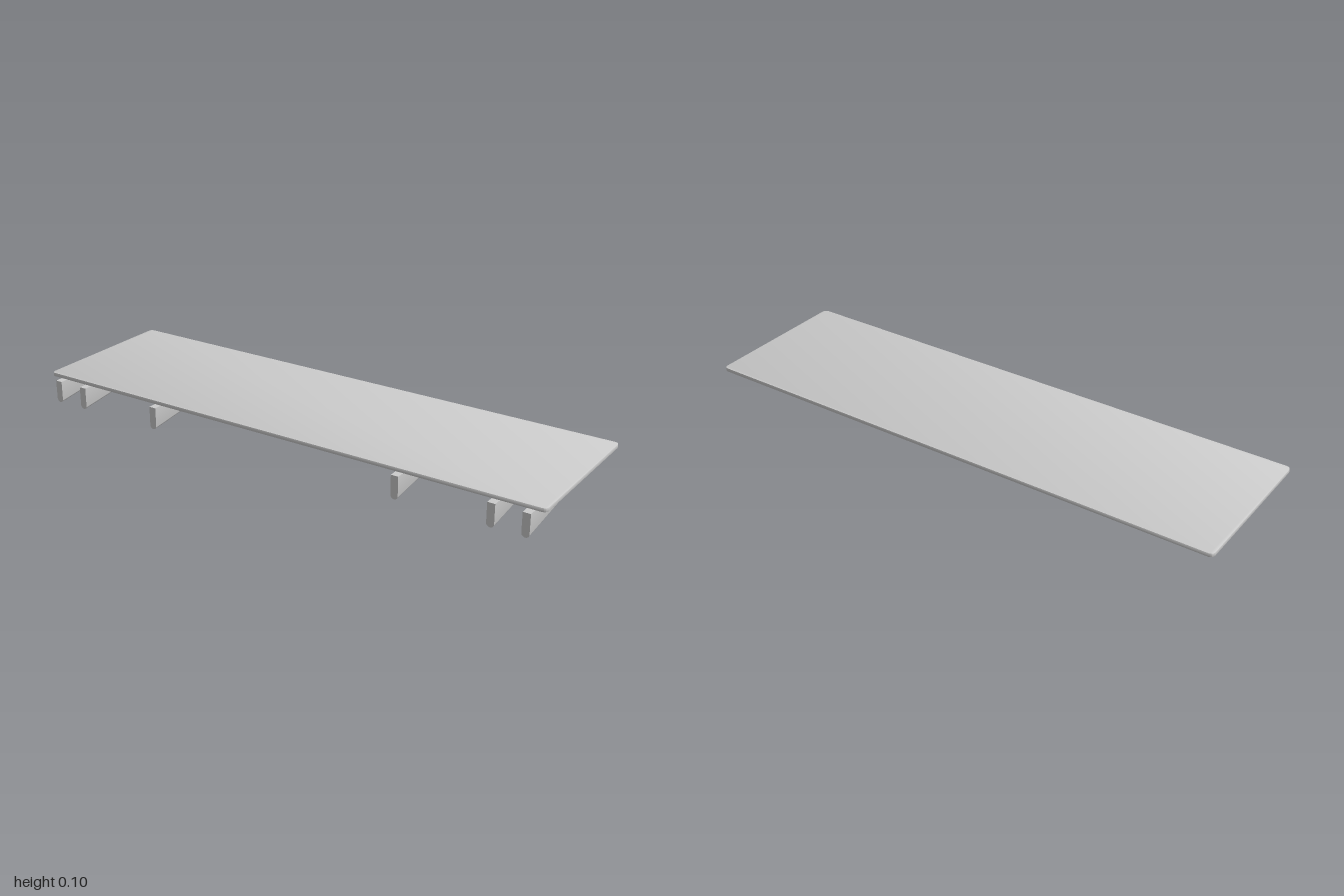
import * as THREE from 'three';
import { toCreasedNormals } from 'three/addons/utils/BufferGeometryUtils.js';

const TOP = 0.085; // height of the bracket tops
const R = 0.0135; // half width of a bracket
const FRONT = 0.295, NOSE = -0.194; // bracket end and centre of its round nose

// Tapered bracket: U-shaped cross-sections swept from the flat end to a round nose
function bracketGeometry() {
  const stations = [{ z: FRONT, r: R, yc: R + 0.002 }];
  const steps = 10, arc = 14;
  for (let i = 0; i <= steps; i++) {
    const a = (i / steps) * Math.PI / 2;
    stations.push({ z: NOSE - R * Math.sin(a), r: R * Math.max(Math.cos(a), 0.01), yc: 0.06 + R });
  }
  const pos = [], idx = [], n = arc + 3;
  for (const { z, r, yc } of stations) {
    pos.push(-r, TOP, z);
    for (let k = 0; k <= arc; k++) {
      const t = Math.PI + (k / arc) * Math.PI;
      pos.push(r * Math.cos(t), yc + r * Math.sin(t), z);
    }
    pos.push(r, TOP, z);
  }
  for (let i = 0; i < stations.length - 1; i++) {
    for (let j = 0; j < n; j++) {
      const k = (j + 1) % n;
      const a = i * n + j, b = i * n + k, c = a + n, d = b + n;
      idx.push(a, c, b, b, c, d);
    }
  }
  for (let j = 1; j < n - 1; j++) idx.push(0, j, j + 1); // flat end
  const g = new THREE.BufferGeometry();
  g.setAttribute('position', new THREE.Float32BufferAttribute(pos, 3));
  g.setIndex(idx);
  return toCreasedNormals(g, 0.6);
}

// Thin board with rounded corners and slightly eased edges
function boardGeometry() {
  const bevel = 0.0015, x = 1 - bevel, z0 = -0.275 + bevel, z1 = 0.294 - bevel, c = 0.015;
  const s = new THREE.Shape();
  s.moveTo(-x + c, z0);
  s.lineTo(x - c, z0);
  s.absarc(x - c, z0 + c, c, -Math.PI / 2, 0);
  s.absarc(x - c, z1 - c, c, 0, Math.PI / 2);
  s.absarc(-x + c, z1 - c, c, Math.PI / 2, Math.PI);
  s.absarc(-x + c, z0 + c, c, Math.PI, Math.PI * 1.5);
  const g = new THREE.ExtrudeGeometry(s, {
    depth: 0.014 - 2 * bevel, bevelEnabled: true, bevelSize: bevel,
    bevelThickness: bevel, bevelSegments: 2, curveSegments: 8,
  });
  g.rotateX(-Math.PI / 2).translate(0, 0.09 + bevel, 0);
  return toCreasedNormals(g, 0.6);
}

export function createModel() {
  const model = new THREE.Group();
  const material = new THREE.MeshStandardMaterial({ color: 0xcccccc });
  const add = (parent, name, geometry) => {
    const mesh = new THREE.Mesh(geometry, material);
    mesh.name = name;
    parent.add(mesh);
    return mesh;
  };

  add(model, 'shelfBoard', boardGeometry());

  // Six brackets, each carrying two round pads under the board
  const bracket = bracketGeometry();
  const pad = new THREE.CylinderGeometry(0.015, 0.015, 0.006, 24).scale(0.8, 1, 1);
  for (const x of [-0.947, -0.829, -0.497, 0.492, 0.829, 0.946]) {
    const support = new THREE.Group();
    support.name = 'support';
    support.position.x = x;
    add(support, 'bracket', bracket);
    for (const z of [0.142, -0.193]) add(support, 'pad', pad).position.set(0, 0.0875, z);
    model.add(support);
  }
  return model;
}
